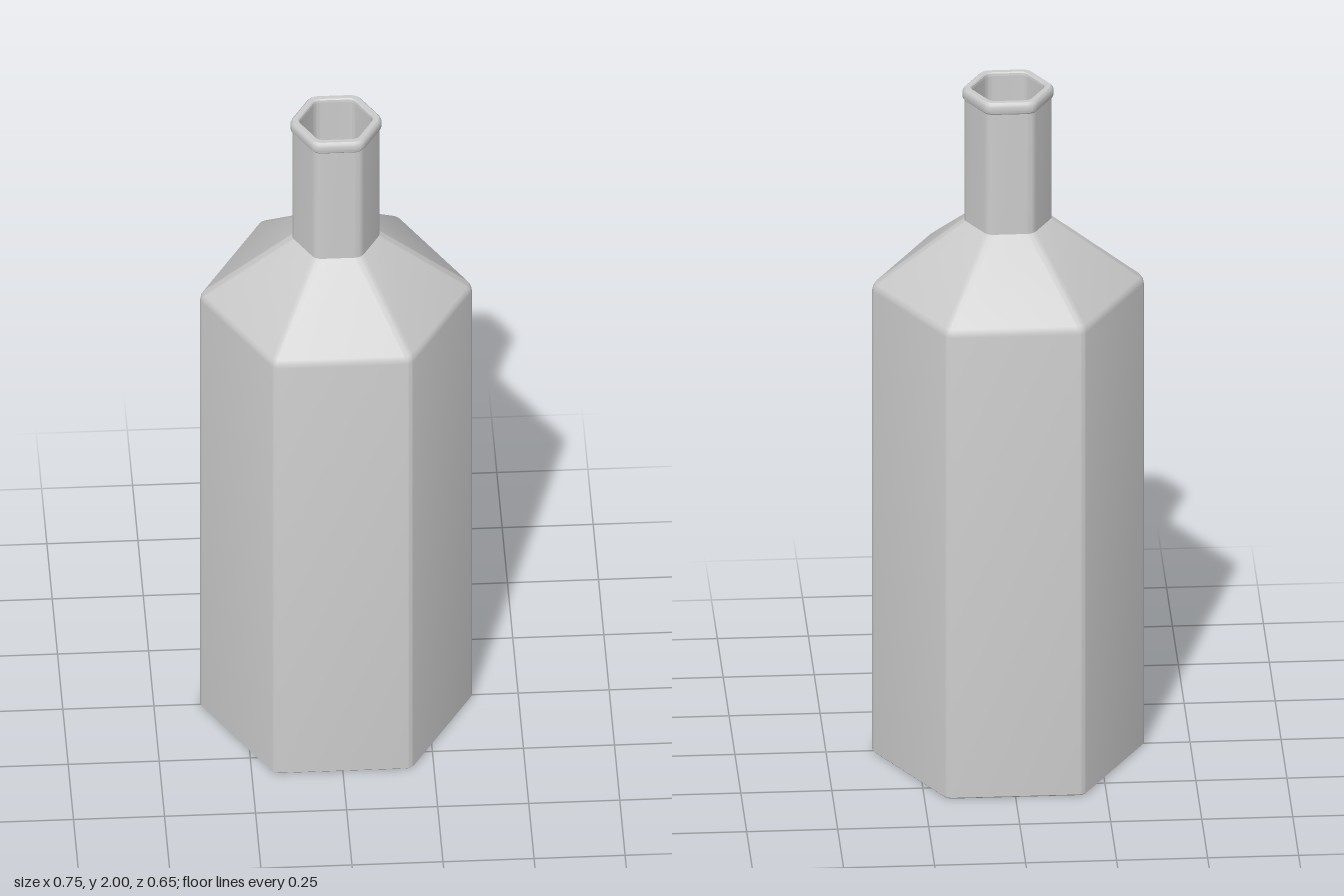
import * as THREE from 'three';
import { toCreasedNormals } from 'three/addons/utils/BufferGeometryUtils.js';

const SIDES = 6, ARC = 5; // hexagon with rounded corners

// One cross-section: a = distance to the flats, r = corner radius
function ring(a, y, r) {
  const points = [];
  const c = (a - r) / Math.cos(Math.PI / SIDES);
  for (let k = 0; k < SIDES; k++) {
    const mid = (k * 2 * Math.PI) / SIDES;
    for (let s = 0; s <= ARC; s++) {
      const t = mid + (s / ARC - 0.5) * ((2 * Math.PI) / SIDES);
      points.push(c * Math.cos(mid) + r * Math.cos(t), y, -c * Math.sin(mid) - r * Math.sin(t));
    }
  }
  return points;
}

// Skin a list of [a, y, r] sections, running upwards on outside surfaces
function loft(name, sections, material) {
  const n = SIDES * (ARC + 1);
  const positions = sections.flatMap(([a, y, r]) => ring(a, y, r));
  const index = [];
  for (let i = 0; i < sections.length - 1; i++) {
    for (let j = 0; j < n; j++) {
      const p = i * n + j, q = i * n + ((j + 1) % n);
      if (sections[i][0] > 0) index.push(p, q, q + n);
      if (sections[i + 1][0] > 0) index.push(p, q + n, p + n);
    }
  }
  const geometry = new THREE.BufferGeometry();
  geometry.setAttribute('position', new THREE.Float32BufferAttribute(positions, 3));
  geometry.setIndex(index);
  const mesh = new THREE.Mesh(toCreasedNormals(geometry, 0.55), material);
  mesh.name = name;
  return mesh;
}

export function createModel() {
  const group = new THREE.Group();
  group.name = 'bottle';
  const material = new THREE.MeshStandardMaterial({ color: 0xcccccc });

  // Base, straight sides, softened shoulder edge and sloping shoulder
  group.add(loft('body', [
    [0, 0, 0], [0.323, 0, 0.028], [0.327, 0.004, 0.03],
    [0.327, 1.395, 0.03], [0.325, 1.407, 0.03], [0.319, 1.417, 0.03],
    [0.108, 1.602, 0.03],
  ], material));

  // Straight neck
  group.add(loft('neck', [[0.108, 1.6, 0.03], [0.108, 1.967, 0.03]], material));

  // Slightly swollen lip, rounded over into the opening
  group.add(loft('rim', [
    [0.108, 1.965, 0.03], [0.112, 1.97, 0.032], [0.113, 1.977, 0.032],
    [0.113, 1.988, 0.032], [0.111, 1.995, 0.032], [0.106, 2, 0.03],
    [0.093, 2, 0.026], [0.09, 1.997, 0.025], [0.089, 1.99, 0.025],
  ], material));

  // Hollow inside, running down to the floor
  group.add(loft('interior', [
    [0.089, 1.99, 0.025], [0.089, 1.59, 0.025], [0.305, 1.4, 0.025],
    [0.305, 0.025, 0.025], [0, 0.025, 0],
  ], material));

  return group;
}
